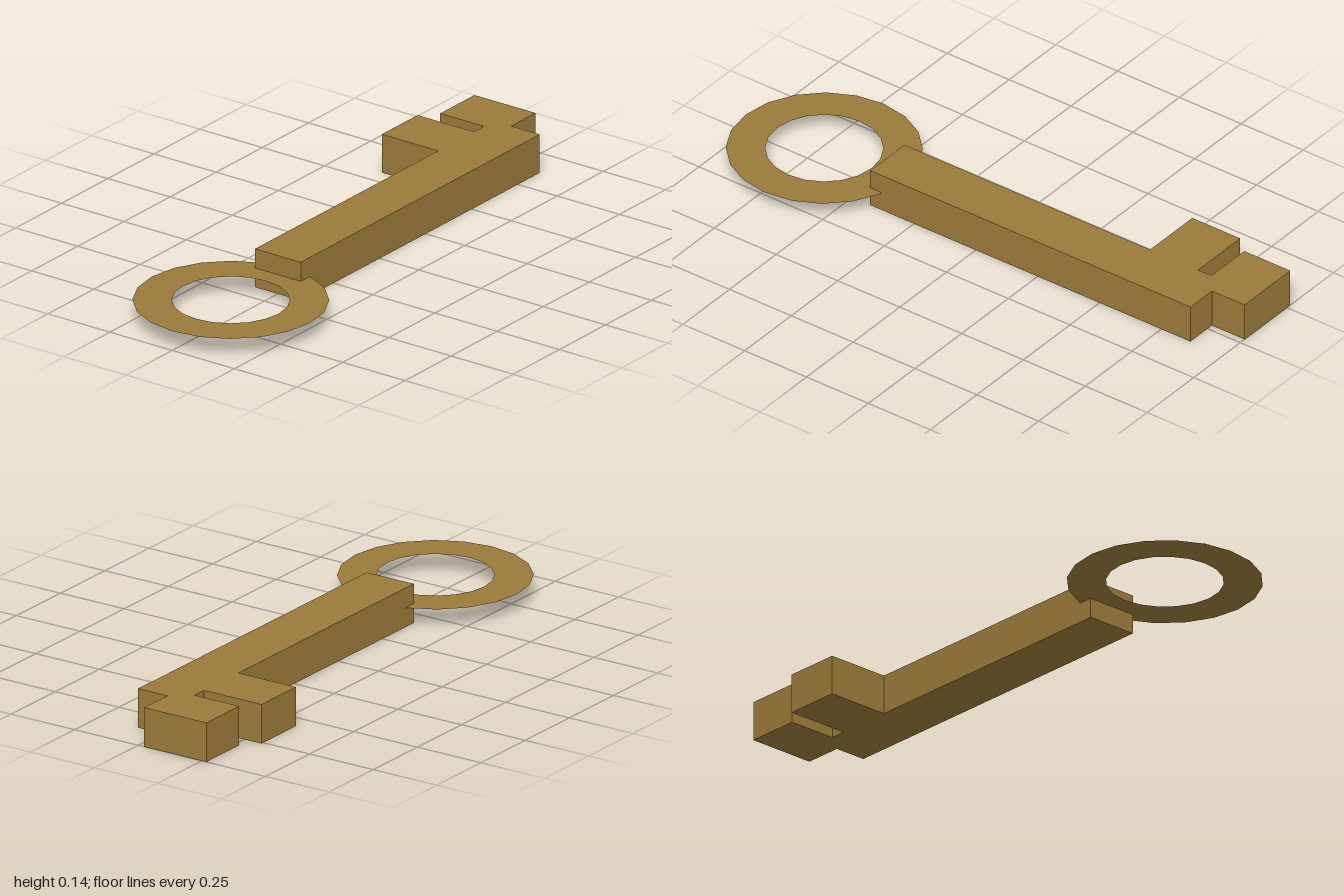
import * as THREE from 'three';

export function createModel() {
  const key = new THREE.Group();
  key.name = 'key';
  const brass = new THREE.MeshStandardMaterial({ color: 0x9a7a3a, side: THREE.DoubleSide });
  brass.name = 'brass';
  const height = 0.135;

  // Shaft and two teeth as one outline, seen from above (second value is -z)
  const outline = [
    [-0.427, -0.092], [0.868, -0.092], [0.868, 0.023], [1, 0.023],
    [1, 0.268], [0.814, 0.268], [0.814, 0.092], [0.76, 0.092],
    [0.76, 0.318], [0.566, 0.318], [0.566, 0.092], [-0.427, 0.092],
  ].map(([x, y]) => new THREE.Vector2(x, y));
  const shaftGeometry = new THREE.ExtrudeGeometry(new THREE.Shape(outline), {
    depth: height, bevelEnabled: false,
  });
  shaftGeometry.rotateX(-Math.PI / 2);
  const shaft = new THREE.Mesh(shaftGeometry, brass);
  shaft.name = 'shaftAndTeeth';
  key.add(shaft);

  // Flat ring handle at mid height
  const ringGeometry = new THREE.RingGeometry(0.191, 0.318, 20, 1);
  ringGeometry.rotateX(-Math.PI / 2);
  const ring = new THREE.Mesh(ringGeometry, brass);
  ring.name = 'ringHandle';
  ring.position.set(-0.682, height / 2, 0);
  key.add(ring);

  return key;
}
